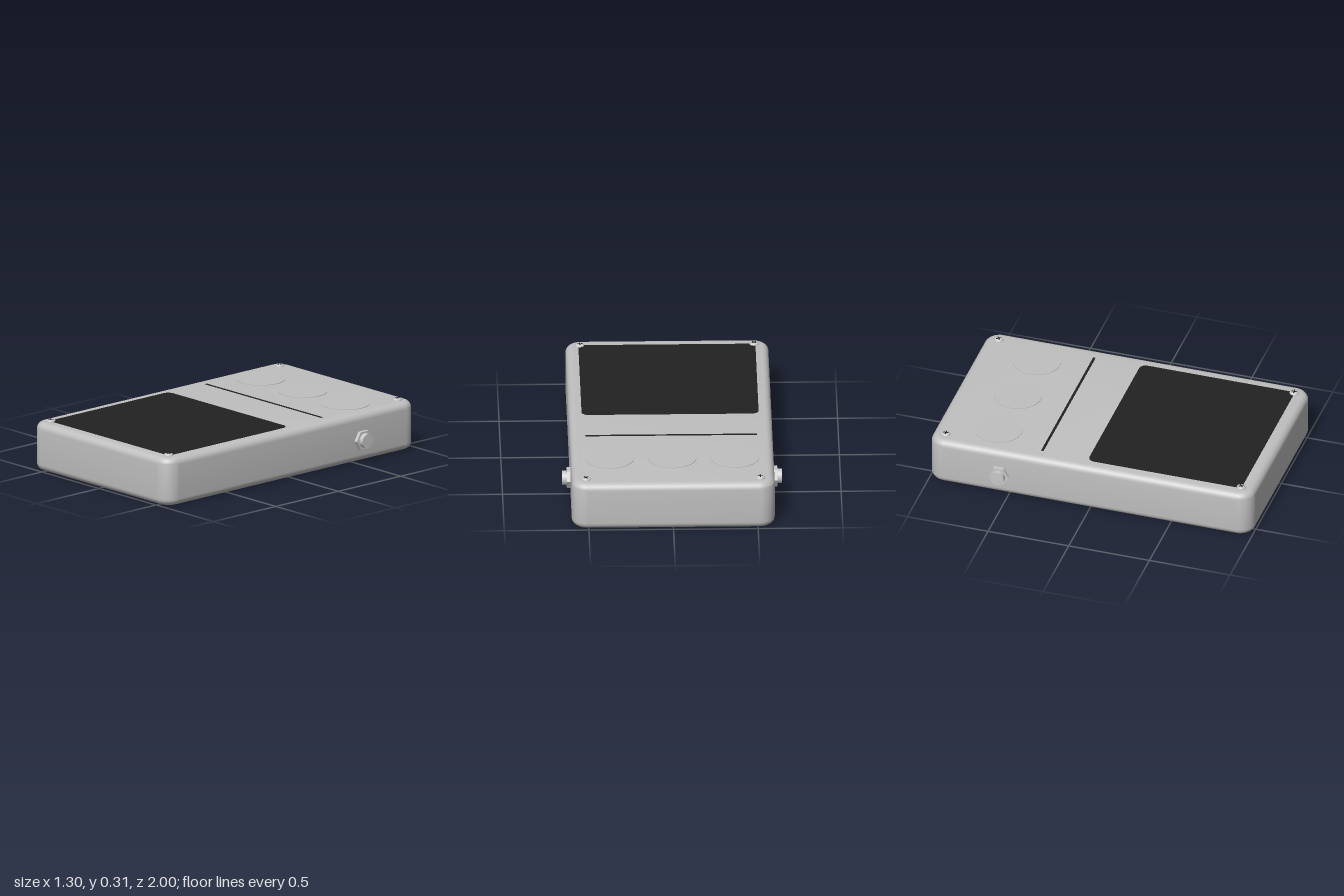
import * as THREE from 'three';
import { toCreasedNormals } from 'three/addons/utils/BufferGeometryUtils.js';

const TOP = 0.292;

const casing = new THREE.MeshStandardMaterial({ name: 'casing grey', color: 0xc0c0c0 });
const metal = new THREE.MeshStandardMaterial({ name: 'metal silver', color: 0xc8c8c8 });
const black = new THREE.MeshStandardMaterial({ name: 'rubber black', color: 0x222222 });

// Rectangle from (-w, y0) to (w, y1), with separate lower and upper corner radii
function roundedRect(w, y0, y1, low, high) {
  const s = new THREE.Shape();
  s.absarc(w - low, y0 + low, low, -Math.PI / 2, 0);
  s.absarc(w - high, y1 - high, high, 0, Math.PI / 2);
  s.absarc(-w + high, y1 - high, high, Math.PI / 2, Math.PI);
  s.absarc(-w + low, y0 + low, low, Math.PI, Math.PI * 1.5);
  s.closePath();
  return s;
}

function add(parent, name, geometry, material, x = 0, y = 0, z = 0) {
  const mesh = new THREE.Mesh(geometry, material);
  mesh.name = name;
  mesh.position.set(x, y, z);
  parent.add(mesh);
  return mesh;
}

// Domed screw head with a cross slot
function makeScrew(turn) {
  const screw = new THREE.Group();
  screw.name = 'screw';
  const profile = [[0.027, 0], [0.027, 0.004], [0.024, 0.009], [0.018, 0.012], [0, 0.013]]
    .map(([r, y]) => new THREE.Vector2(r, y));
  add(screw, 'screwHead', new THREE.LatheGeometry(profile, 24), metal);
  for (const [w, d] of [[0.032, 0.007], [0.007, 0.032]]) {
    add(screw, 'screwSlot', new THREE.BoxGeometry(w, 0.003, d), black, 0, 0.0122, 0);
  }
  screw.rotation.y = turn;
  return screw;
}

// Socket with hexagonal nut, pointing along +y before it is turned
function makeSocket() {
  const socket = new THREE.Group();
  socket.name = 'socket';
  const nut = new THREE.CylinderGeometry(0.0625, 0.0625, 0.03, 6);
  add(socket, 'socketNut', toCreasedNormals(nut, 0.5), metal, 0, 0.007, 0);
  add(socket, 'socketBarrel', new THREE.CylinderGeometry(0.043, 0.043, 0.06, 32), metal, 0, 0.02, 0);
  return socket;
}

export function createModel() {
  const model = new THREE.Group();
  model.name = 'pedal';

  // Casing with rounded edges all round
  const edge = 0.042;
  const body = new THREE.ExtrudeGeometry(
    roundedRect(0.6 - edge, -1 + edge, 1 - edge, 0.05, 0.05),
    { depth: TOP - 2 * edge, bevelSize: edge, bevelThickness: edge, bevelSegments: 8, curveSegments: 10 }
  );
  body.rotateX(-Math.PI / 2);
  body.translate(0, edge, 0);
  add(model, 'casing', toCreasedNormals(body, 0.6), casing);

  // Foot pad, rounded at the back corners
  const pad = new THREE.ExtrudeGeometry(roundedRect(0.523, -0.918, 0.035, 0.006, 0.04),
    { depth: 0.004, bevelEnabled: false });
  pad.rotateX(-Math.PI / 2);
  add(model, 'footPad', pad, black, 0, TOP - 0.002, 0);

  // Dividing line
  add(model, 'dividingLine', new THREE.BoxGeometry(1.015, 0.004, 0.015), black, 0, TOP, -0.32);

  // Flat control discs
  for (const x of [-0.37, 0, 0.37]) {
    add(model, 'controlDisc', new THREE.CylinderGeometry(0.143, 0.143, 0.006, 48), casing, x, TOP, -0.632);
  }

  // Corner screws
  [[-1, -1, 0.05], [1, -1, 0.6], [-1, 1, 0.75], [1, 1, 0.1]].forEach(([sx, sz, turn]) => {
    const screw = makeScrew(turn);
    screw.position.set(sx * 0.515, TOP, sz * 0.915);
    model.add(screw);
  });

  // Side sockets
  for (const side of [-1, 1]) {
    const socket = makeSocket();
    socket.position.set(side * 0.6, 0.133, -0.558);
    socket.rotation.z = -side * Math.PI / 2;
    model.add(socket);
  }

  return model;
}
